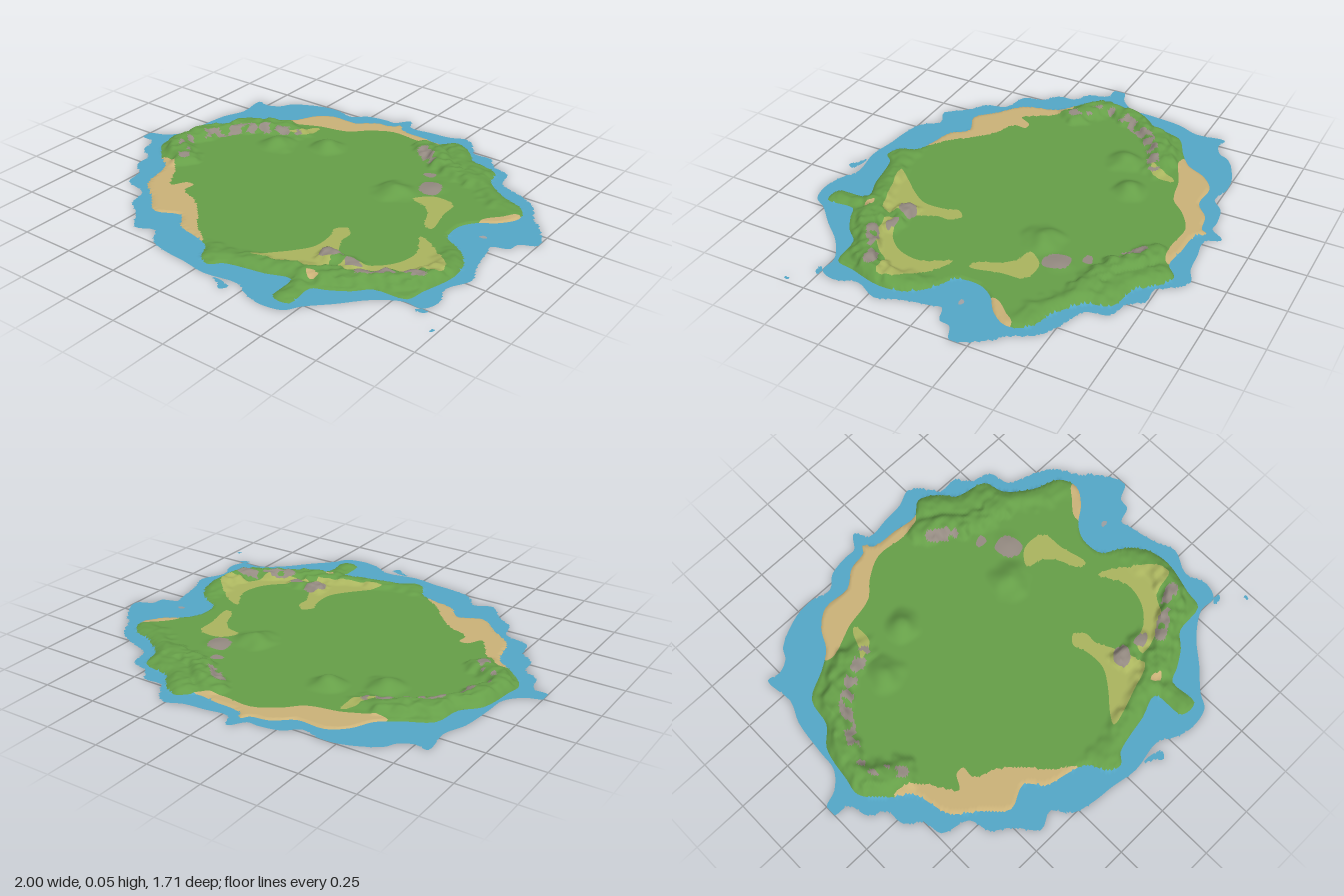
import * as THREE from 'three';
import { mergeVertices } from 'three/addons/utils/BufferGeometryUtils.js';

const STEP = 0.01, BASE = 0.006;

const mat = (name, color) => {
  const m = new THREE.MeshStandardMaterial({ color, side: THREE.DoubleSide });
  m.name = name;
  return m;
};

// Smooth closed outline through x, z pairs
function outline(flat) {
  const pts = [];
  for (let i = 0; i < flat.length; i += 2) pts.push(new THREE.Vector3(flat[i], 0, flat[i + 1]));
  return new THREE.CatmullRomCurve3(pts, true).getPoints(pts.length * 4).slice(0, -1).map(p => [p.x, p.z]);
}

const waterOutline = outline([
  -1, .05, -1, 0, -.93, -.03, -.87, -.1, -.86, -.2, -.84, -.36, -.8, -.46, -.81, -.6, -.75, -.59, -.69, -.62,
  -.66, -.67, -.52, -.74, -.42, -.75, -.33, -.73, -.27, -.78, -.17, -.8, -.12, -.8, -.07, -.86, -.02, -.8,
  .08, -.81, .18, -.82, .26, -.85, .32, -.8, .37, -.74, .45, -.74, .5, -.68, .59, -.65, .62, -.55, .7, -.52,
  .82, -.46, .88, -.36, .93, -.31, .99, -.22, 1, -.17, .93, -.13, .92, -.08, .85, -.05, .86, 0, .87, .06,
  .89, .14, .92, .22, .87, .33, .9, .43, .87, .5, .79, .5, .68, .57, .59, .67, .5, .76, .46, .82, .36, .84,
  .28, .82, .2, .78, .05, .8, -.08, .78, -.18, .77, -.28, .74, -.34, .67, -.42, .7, -.5, .61, -.58, .55,
  -.61, .46, -.73, .42, -.75, .34, -.82, .27, -.83, .19, -.9, .15, -.93, .06]);
const landOutline = outline([
  -.87, .05, -.86, -.03, -.83, -.19, -.76, -.27, -.73, -.4, -.61, -.47, -.53, -.53, -.48, -.62, -.4, -.68,
  -.27, -.68, -.19, -.74, -.1, -.76, -.08, -.79, -.04, -.75, .08, -.74, .19, -.73, .26, -.78, .35, -.73,
  .4, -.67, .54, -.63, .57, -.54, .68, -.45, .8, -.4, .83, -.32, .78, -.24, .7, -.18, .66, -.11, .67, -.01,
  .76, .05, .83, .13, .85, .24, .81, .4, .79, .48, .65, .5, .59, .56, .51, .61, .45, .64, .45, .77, .37, .77,
  .35, .63, .24, .66, .13, .68, .06, .7, .02, .74, -.04, .72, -.08, .64, -.16, .61, -.27, .58, -.34, .51,
  -.45, .55, -.53, .48, -.65, .38, -.7, .22, -.8, .14]);
const lagoonGap = outline([.77, -.1, .785, -.112, .805, -.1, .785, -.088]);
const pools = [
  [.1, .8, .14, .8, .19, .82, .17, .85, .13, .82], [.85, .52, .88, .5, .9, .51, .88, .525], [.97, .59, .985, .59, .98, .61],
].map(outline);
const beaches = [
  [-.58, -.5, -.53, -.48, -.45, -.51, -.38, -.54, -.28, -.56, -.23, -.58, -.17, -.64, -.06, -.7, .08, -.69,
    .18, -.71, .2, -.74, .15, -.85, -.3, -.85, -.62, -.7],
  [-.76, .16, -.66, .19, -.59, .29, -.55, .34, -.51, .28, -.47, .28, -.47, .34, -.38, .38, -.29, .45, -.21, .55,
    -.12, .62, -.2, .75, -.5, .7, -.82, .4],
  [.71, -.21, .77, -.29, .82, -.34, .9, -.3, .75, -.15],
  [.38, .57, .41, .56, .44, .58, .41, .6],
].map(outline);
const meadows = [
  [.38, -.19, .43, -.26, .5, -.27, .55, -.25, .56, -.15, .585, -.02, .55, -.02, .5, -.12, .45, -.17],
  [.58, .06, .64, .08, .72, .14, .8, .22, .81, .28, .7, .31, .65, .38, .55, .44, .45, .46, .46, .41, .55, .37, .62, .29, .64, .18],
  [.26, .22, .3, .18, .34, .22, .34, .28, .38, .36, .4, .44, .42, .5, .3, .55, .12, .6, .15, .55, .23, .46, .28, .38, .28, .28],
  [-.39, -.51, -.37, -.52, -.37, -.42, -.46, -.38, -.43, -.42],
].map(outline);
const outcrops = [
  [.34, -.36, .42, -.37, .44, -.28, .39, -.26, .35, -.29], [.29, -.43, .34, -.45, .34, -.41, .3, -.41],
  [.33, .4, .38, .36, .42, .38, .39, .44, .35, .45], [.45, .4, .5, .39, .53, .41, .48, .44],
].map(outline);
const allOutlines = [waterOutline, landOutline, lagoonGap, ...pools, ...beaches, ...meadows, ...outcrops];

// Ridge crests: [x, z, height], with a half-width
const ridges = [
  { w: .085, line: [[-.42, -.42, .014], [-.52, -.41, .034], [-.63, -.35, .036], [-.72, -.26, .036], [-.78, -.15, .038], [-.82, -.03, .038], [-.78, .05, .038], [-.67, .12, .026]] },
  { w: .075, line: [[.16, -.65, .024], [.23, -.63, .036], [.3, -.56, .036], [.38, -.51, .03], [.5, -.5, .026], [.57, -.49, .02]] },
  { w: .09, line: [[.27, -.72, .02], [.4, -.6, .018], [.56, -.53, .018], [.7, -.4, .014], [.79, -.36, .008]] },
  { w: .075, line: [[-.06, .66, .01], [.05, .66, .014], [.2, .62, .022], [.32, .58, .026], [.45, .54, .027], [.57, .48, .032], [.68, .42, .036], [.78, .33, .038], [.8, .2, .022], [.76, .1, .012]] },
  { w: .05, line: [[.36, .41, .03], [.5, .41, .016]] },
  { w: .05, line: [[.41, .66, .012], [.41, .74, .01]] },
];
// Rocky faces: lines in plan
const cliffs = [
  [[-.42, -.4], [-.55, -.34], [-.65, -.27], [-.71, -.17], [-.77, -.05], [-.75, .03], [-.67, .12]],
  [[.56, .46], [.7, .37], [.79, .33]], [[.17, -.6], [.25, -.54]],
];
const hills = [[-.42, -.26, .036, .1], [-.21, -.37, .039, .09], [.28, -.2, .036, .11], [.4, -.33, .008, .08]];

const clamp = THREE.MathUtils.clamp;
const hash = (i, j) => {
  const s = Math.sin(i * 127.1 + j * 311.7) * 43758.5453;
  return s - Math.floor(s);
};
function noise(x, z) {
  const i = Math.floor(x), j = Math.floor(z), u = THREE.MathUtils.smoothstep(x - i, 0, 1), v = THREE.MathUtils.smoothstep(z - j, 0, 1);
  const lerp = THREE.MathUtils.lerp;
  return lerp(lerp(hash(i, j), hash(i + 1, j), u), lerp(hash(i, j + 1), hash(i + 1, j + 1), u), v);
}

// Nearest point of a segment: distance, position, fraction
function onSegment(x, z, a, b) {
  const dx = b[0] - a[0], dz = b[1] - a[1];
  const t = clamp(((x - a[0]) * dx + (z - a[1]) * dz) / (dx * dx + dz * dz || 1), 0, 1);
  const px = a[0] + dx * t, pz = a[1] + dz * t;
  return { d: Math.hypot(x - px, z - pz), px, pz, t };
}
function nearest(x, z, line, closed, limit = 9) {
  let best = { d: 9 };
  for (let i = closed ? 0 : 1; i < line.length; i++) {
    const a = line[(i + line.length - 1) % line.length], b = line[i];
    if (Math.abs(a[0] - x) > limit || Math.abs(a[1] - z) > limit) continue;
    const s = onSegment(x, z, a, b);
    if (s.d < best.d) best = { ...s, a, b };
  }
  return best;
}
function inside(x, z, poly) {
  let hit = false;
  for (let i = 0, j = poly.length - 1; i < poly.length; j = i++) {
    const [ax, az] = poly[i], [bx, bz] = poly[j];
    if (az > z !== bz > z && x < (bx - ax) * (z - az) / (bz - az) + ax) hit = !hit;
  }
  return hit;
}
const inAny = (x, z, list) => list.some(p => inside(x, z, p));

// Ground height: flat plain, craggy ridges and round hills, falling to the shore
function height(x, z) {
  if (!inside(x, z, landOutline)) return 0;
  const shore = nearest(x, z, landOutline, true, .15).d;
  if (shore < .002) return 0;
  let h = 0;
  for (const { w, line } of ridges) {
    const s = nearest(x, z, line, false);
    const top = THREE.MathUtils.lerp(s.a[2], s.b[2], s.t);
    const d = s.d + (noise(x * 28, z * 28) - .5) * .045;
    h = Math.max(h, top * (1 - THREE.MathUtils.smoothstep(d, w * .3, w)) * (.7 + .45 * noise(x * 38 + 9, z * 38)));
  }
  for (const [hx, hz, top, r] of hills) {
    const d = Math.hypot(x - hx, z - hz) + (noise(x * 18, z * 18) - .5) * .025;
    h = Math.max(h, top * (1 - THREE.MathUtils.smoothstep(d, 0, r)));
  }
  return Math.min(BASE + h * THREE.MathUtils.smoothstep(shore, -.015, .05), .046);
}

function zoneAt(x, z) {
  if (!inside(x, z, landOutline)) {
    return (inside(x, z, waterOutline) && !inside(x, z, lagoonGap)) || inAny(x, z, pools) ? 'water' : null;
  }
  if (inAny(x, z, outcrops)) return 'rock';
  if (cliffs.some(c => nearest(x, z, c, false).d < .026) && noise(x * 30 + 4, z * 30) > .48) return 'rock';
  if (inAny(x, z, beaches)) return 'sand';
  return inAny(x, z, meadows) ? 'meadow' : 'grass';
}

export function createModel() {
  const group = new THREE.Group();
  group.name = 'island';
  const materials = {
    water: mat('shallow water blue', 0x54a8c8), grass: mat('grass green', 0x669f48), sand: mat('beach sand', 0xcbb278),
    meadow: mat('dry meadow', 0xabb55f), rock: mat('rock grey', 0x958b82),
  };

  // Grid whose vertices snap to the outlines, for clean borders
  const nx = Math.round(2 / STEP), nz = Math.round(1.74 / STEP), row = nx + 1, pos = [];
  for (let j = 0; j <= nz; j++) for (let i = 0; i <= nx; i++) {
    let x = -1 + i * STEP, z = -.88 + j * STEP, best = { d: STEP * .5 };
    for (const o of allOutlines) {
      const s = nearest(x, z, o, true, .1);
      if (s.d < best.d) best = s;
    }
    if (best.px !== undefined) { x = clamp(best.px, -1, 1); z = best.pz; }
    pos.push(x, height(x, z), z);
  }

  // Sort triangles into zones
  const zones = { water: [], grass: [], sand: [], meadow: [], rock: [] };
  const addTriangle = (...t) => {
    const mid = k => (pos[t[0] * 3 + k] + pos[t[1] * 3 + k] + pos[t[2] * 3 + k]) / 3;
    const zone = zoneAt(mid(0), mid(2));
    if (zone) zones[zone].push(...t);
  };
  for (let j = 0; j < nz; j++) for (let i = 0; i < nx; i++) {
    const a = j * row + i, b = a + 1, c = a + row, d = c + 1;
    addTriangle(a, c, b);
    addTriangle(b, c, d);
  }

  // Land shares smooth normals across its zones; water stays level
  const land = new THREE.BufferGeometry();
  land.setAttribute('position', new THREE.Float32BufferAttribute(pos, 3));
  land.setIndex([...zones.grass, ...zones.sand, ...zones.meadow, ...zones.rock]);
  land.computeVertexNormals();
  const names = { water: 'shallowWater', grass: 'grassland', sand: 'beaches', meadow: 'dryMeadows', rock: 'rockFaces' };
  for (const zone in zones) {
    const part = land.clone();
    part.setIndex(zones[zone]);
    const geometry = mergeVertices(part.toNonIndexed(), 1e-5);
    if (zone === 'water') geometry.computeVertexNormals();
    const mesh = new THREE.Mesh(geometry, materials[zone]);
    mesh.name = names[zone];
    group.add(mesh);
  }
  return group;
}
